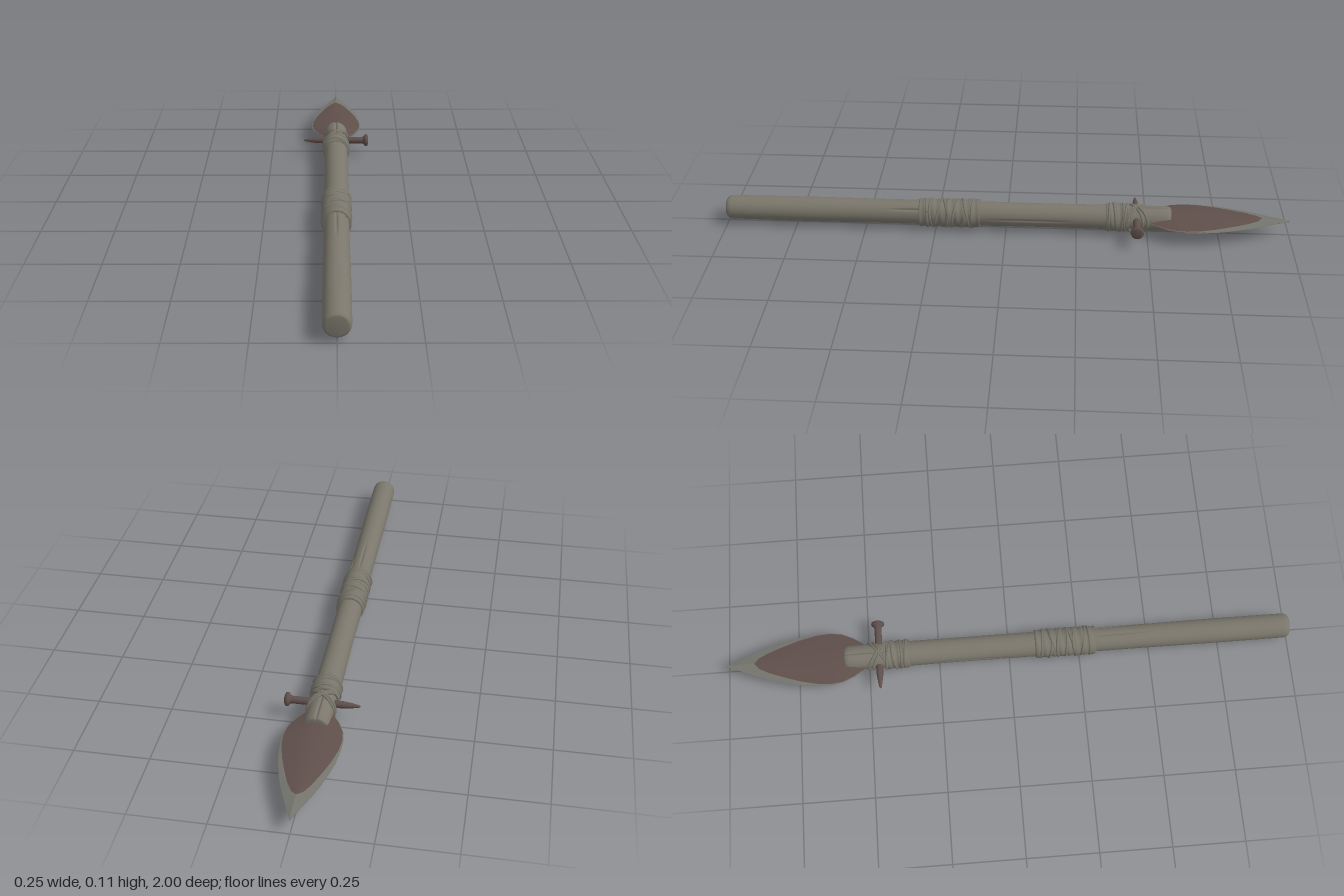
import * as THREE from 'three';
import { mergeVertices } from 'three/addons/utils/BufferGeometryUtils.js';

const CY = 0.056; // height of the spear axis
const mat = (name, color, side = THREE.FrontSide) => {
  const m = new THREE.MeshStandardMaterial({ color, side });
  m.name = name;
  return m;
};

// Lathe along z whose vertices are scaled radially by rule(angle, z)
function roundAlongZ(profile, segments, rule) {
  const pts = profile.map(([r, z]) => new THREE.Vector2(r, z));
  let geo = new THREE.LatheGeometry(pts, segments).rotateX(Math.PI / 2);
  const p = geo.attributes.position;
  for (let i = 0; i < p.count; i++) {
    const k = rule(Math.atan2(p.getX(i), p.getY(i)), p.getZ(i));
    p.setXY(i, p.getX(i) * k, p.getY(i) * k);
  }
  geo.deleteAttribute('uv');
  geo.deleteAttribute('normal');
  geo = mergeVertices(geo, 1e-5);
  geo.computeVertexNormals();
  return geo;
}

// Grooves along the wood: angle, start z, end z, depth
const CRACKS = [
  [0.0, -0.62, -0.34, 0.2], [0.0, 0.27, 0.5, 0.12], [0.9, 0.25, 0.42, 0.14],
  [-1.5, -0.3, 0.02, 0.07], [1.6, -0.25, 0.08, 0.08], [3.1, -0.62, -0.1, 0.12],
  [2.4, 0.3, 0.6, 0.07], [-2.2, -0.2, 0.1, 0.07],
];
function woodRule(a, z) {
  let k = 1 + 0.012 * Math.sin(2 * a + 5 * z) + 0.01 * Math.sin(11 * z);
  for (const [ca, z0, z1, depth] of CRACKS) {
    if (z < z0 || z > z1) continue;
    const d = Math.abs(Math.atan2(Math.sin(a - ca), Math.cos(a - ca)));
    const along = Math.sin(Math.PI * (z - z0) / (z1 - z0));
    k -= depth * along * Math.max(0, 1 - d / 0.13);
  }
  return k;
}

// Cord looped round the shaft, tilted by amp in the direction phase
function cordLoop(z, amp, phase, radius, thick, wobble = 0) {
  const pts = [];
  for (let i = 0; i < 20; i++) {
    const a = (i / 20) * Math.PI * 2;
    const r = radius + wobble * Math.sin(3 * a + z * 90);
    pts.push(new THREE.Vector3(Math.sin(a) * r, Math.cos(a) * r, z + amp * Math.sin(a + phase)));
  }
  return new THREE.TubeGeometry(new THREE.CatmullRomCurve3(pts, true), 48, thick, 8, true);
}

// Blade stations: z, half width, half thickness, rusty share of the width
const BLADE = [
  [-0.47, 0.03, 0.016, 0.99], [-0.51, 0.045, 0.019, 0.99], [-0.55, 0.072, 0.021, 0.98],
  [-0.59, 0.09, 0.021, 0.98], [-0.63, 0.097, 0.02, 0.97], [-0.68, 0.096, 0.018, 0.94],
  [-0.74, 0.089, 0.016, 0.86], [-0.8, 0.075, 0.013, 0.75], [-0.85, 0.06, 0.011, 0.62],
  [-0.885, 0.047, 0.009, 0.4], [-0.9, 0.041, 0.008, 0.02], [-0.95, 0.02, 0.005, 0.02],
  [-1.0, 0.0005, 0.001, 0.02],
];
function bladeGeometry(sideY) {
  const pos = [], idx = [[], []];
  BLADE.forEach(([z, w, t, f]) => {
    [-1, -f, -f / 2, 0, f / 2, f, 1].forEach((u) => {
      const bulge = Math.pow(1 - Math.abs(u), 0.8);
      pos.push(u * w, 0.002 + sideY * (0.0015 + t * bulge), z);
    });
  });
  for (let i = 0; i < BLADE.length - 1; i++) {
    for (let j = 0; j < 6; j++) {
      const a = i * 7 + j, b = a + 1, c = a + 7, d = c + 1;
      const rusty = j > 0 && j < 5 && i < 10;
      const list = idx[rusty ? 1 : 0];
      if (sideY > 0) list.push(a, b, c, b, d, c);
      else list.push(a, c, b, b, c, d);
    }
  }
  const geo = new THREE.BufferGeometry();
  geo.setAttribute('position', new THREE.Float32BufferAttribute(pos, 3));
  geo.setIndex([...idx[0], ...idx[1]]);
  geo.addGroup(0, idx[0].length, 0);
  geo.addGroup(idx[0].length, idx[1].length, 1);
  geo.computeVertexNormals();
  return geo;
}

export function createModel() {
  const wood = mat('weathered wood', 0x7a766b);
  const cord = mat('cord', 0x78756a);
  const steel = mat('worn steel', 0x74746d, THREE.DoubleSide);
  const rust = mat('rust', 0x5f4f4b, THREE.DoubleSide);
  const spear = new THREE.Group();
  spear.name = 'spear';
  const add = (name, geo, material, parent = spear) => {
    const m = new THREE.Mesh(geo, material);
    m.name = name;
    parent.add(m);
    return m;
  };
  const group = (name) => {
    const g = new THREE.Group();
    g.name = name;
    spear.add(g);
    return g;
  };

  // Shaft with rounded butt and blunt front end
  const profile = [[0, -0.582], [0.034, -0.582], [0.04, -0.578], [0.043, -0.565]];
  for (let i = 1; i < 60; i++) profile.push([0.043, -0.565 + (i / 60) * 1.545]);
  profile.push([0.043, 0.98], [0.0415, 0.99], [0.037, 0.997], [0.032, 1], [0, 1]);
  add('shaft', roundAlongZ(profile, 96, woodRule), wood);

  // Sleeve of wound cord with soft ridges
  const sleeve = (z0, z1, r, turns) => {
    const pts = [[0.04, z0], [r - 0.002, z0]];
    const n = turns * 8;
    for (let i = 0; i <= n; i++) pts.push([r, z0 + 0.003 + (i / n) * (z1 - z0 - 0.006)]);
    pts.push([r - 0.002, z1], [0.04, z1]);
    return roundAlongZ(pts, 48, (a, z) => 1 + 0.025 * Math.sin(((z - z0) / (z1 - z0)) * turns * 2 * Math.PI + a)
      + 0.015 * Math.sin(3 * a + 25 * z));
  };

  // Grip binding
  const grip = group('gripBinding');
  add('gripSleeve', sleeve(0.092, 0.308, 0.0495, 8), cord, grip);
  for (let i = 0; i < 9; i++) {
    const amp = 0.004 + 0.012 * Math.abs(Math.sin(i * 2.3));
    add('gripCord', cordLoop(0.118 + i * 0.0205, i % 8 ? amp : 0.004, i * 1.9, 0.0475, 0.005, 0.0012), cord, grip);
  }

  // Head binding with loops crossing around the nail
  const head = group('headBinding');
  add('headSleeve', sleeve(-0.435, -0.352, 0.0485, 4), cord, head);
  for (let i = 0; i < 4; i++)
    add('headCord', cordLoop(-0.366 - i * 0.02, 0.004 + 0.002 * i, i * 2.1, 0.0475, 0.0048, 0.001), cord, head);
  for (const s of [-1, 1]) {
    for (let i = 0; i < 2; i++)
      add('crossCord', cordLoop(-0.452 - i * 0.011, s * (0.03 + i * 0.006), 0, 0.0455, 0.0045), cord, head);
  }

  // Leaf blade: upper and lower faces, rusty inside and bare at the edge
  const blade = group('blade');
  add('bladeTop', bladeGeometry(1), [steel, rust], blade);
  add('bladeBottom', bladeGeometry(-1), [steel, rust], blade);

  // Nail through the shaft, point to the right, head to the left
  const nailPts = [[0, -0.126], [0.004, -0.121], [0.008, -0.1], [0.0115, -0.075], [0.0125, -0.05], [0.0125, 0.1],
    [0.015, 0.107], [0.022, 0.111], [0.0235, 0.115], [0.022, 0.121], [0.015, 0.125], [0, 0.125]];
  const nail = new THREE.LatheGeometry(nailPts.map(([r, y]) => new THREE.Vector2(r, y)), 20).rotateZ(-Math.PI / 2);
  add('nail', nail, rust).position.set(0, 0.008, -0.46);

  for (const part of spear.children) part.position.y += CY;
  return spear;
}
